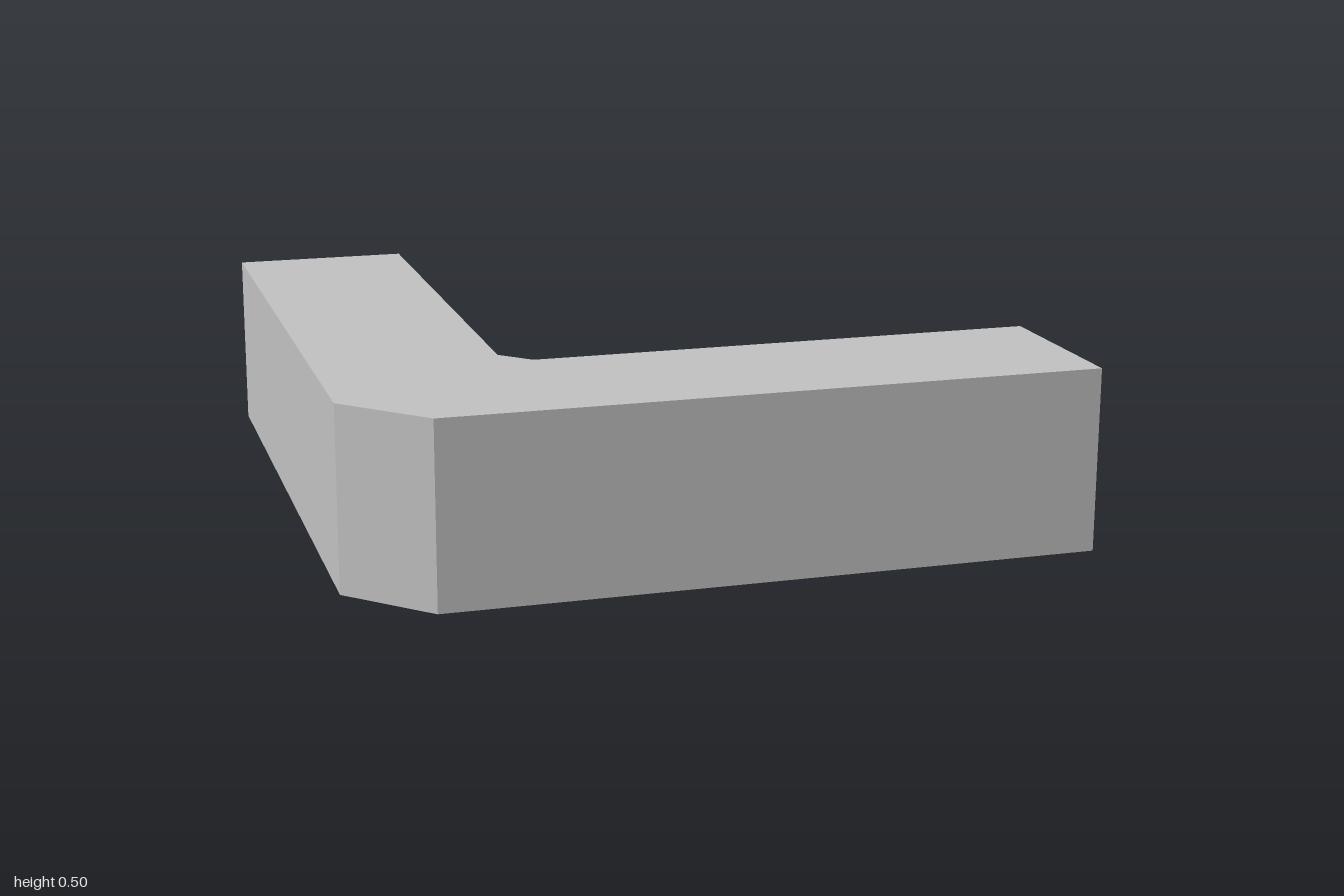
import * as THREE from 'three';

// Upright prism from a plan outline of [x, z] points, standing on y = 0
function prism(name, plan, height, material) {
  const shape = new THREE.Shape(plan.map(([x, z]) => new THREE.Vector2(x, -z)));
  const geometry = new THREE.ExtrudeGeometry(shape, { depth: height, bevelEnabled: false });
  geometry.rotateX(-Math.PI / 2);
  const mesh = new THREE.Mesh(geometry, material);
  mesh.name = name;
  return mesh;
}

export function createModel() {
  const grey = new THREE.MeshStandardMaterial({ color: 0xc0c0c0 });
  grey.name = 'light grey';

  const model = new THREE.Group();
  model.name = 'cornerBracket';

  // L-shaped frame with chamfered outer and inner corners
  model.add(prism('cornerFrame', [
    [-1, -1], [-1, 0.79], [-0.79, 1], [1, 1],
    [1, 0.495], [-0.415, 0.495], [-0.495, 0.415], [-0.495, -1],
  ], 0.505, grey));

  // Lower web filling the inside of the corner
  model.add(prism('cornerWeb', [
    [-0.495, -0.305], [-0.495, 0.415], [-0.415, 0.495], [0.305, 0.495],
  ], 0.295, grey));

  return model;
}
